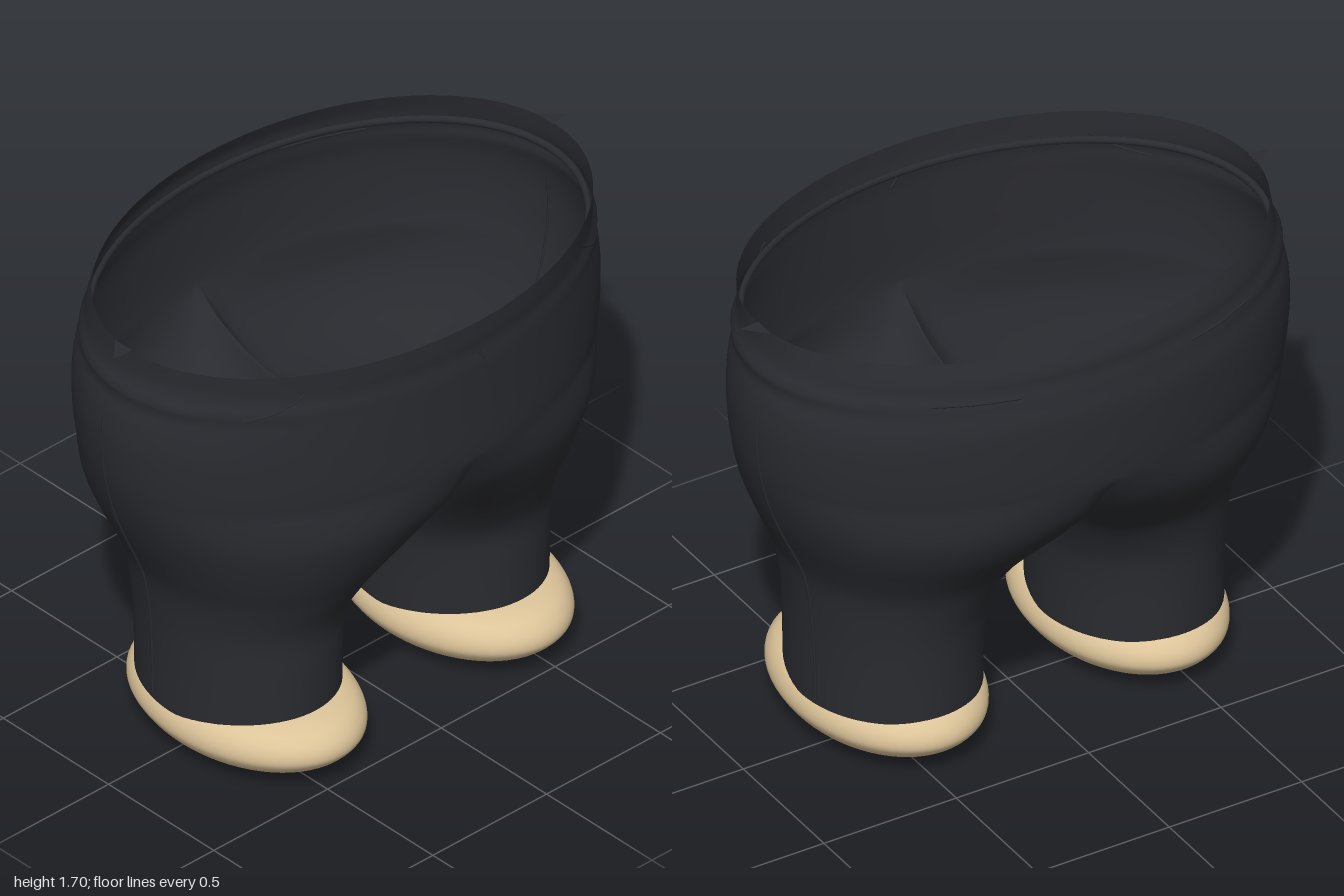
import * as THREE from 'three';
import { mergeVertices, mergeGeometries } from 'three/addons/utils/BufferGeometryUtils.js';

// Height, outer x, inner x, front z, back z
const PROFILE = [
  [0.15, 0.76, 0.15, 0.395, -0.34],
  [0.40, 0.765, 0.145, 0.40, -0.345],
  [0.55, 0.775, 0.125, 0.41, -0.36],
  [0.70, 0.80, 0.09, 0.48, -0.41],
  [0.80, 0.84, 0.055, 0.54, -0.48],
  [0.90, 0.885, 0.02, 0.595, -0.56],
  [1.00, 0.925, 0, 0.64, -0.62],
  [1.10, 0.955, 0, 0.66, -0.65],
  [1.20, 0.975, 0, 0.67, -0.665],
  [1.35, 0.985, 0, 0.67, -0.67],
  [1.45, 0.975, 0, 0.67, -0.668],
  [1.52, 0.958, 0, 0.67, -0.655],
  [1.55, 0.965, 0, 0.668, -0.65],
  [1.59, 0.945, 0, 0.664, -0.64],
  [1.63, 0.935, 0, 0.668, -0.638],
  [1.70, 0.93, 0, 0.67, -0.61],
];

// Smooth lookup of the profile at a height
function profileAt(y) {
  const last = PROFILE.length - 1;
  let i = 0;
  while (i < last - 1 && PROFILE[i + 1][0] < y) i++;
  const p0 = PROFILE[Math.max(i - 1, 0)], p1 = PROFILE[i];
  const p2 = PROFILE[i + 1], p3 = PROFILE[Math.min(i + 2, last)];
  const h = p2[0] - p1[0], t = THREE.MathUtils.clamp((y - p1[0]) / h, 0, 1);
  const [outer, inner, front, back] = [1, 2, 3, 4].map((k) => {
    const m1 = (p2[k] - p0[k]) / (p2[0] - p0[0]) * h;
    const m2 = (p3[k] - p1[k]) / (p3[0] - p1[0]) * h;
    const t2 = t * t, t3 = t2 * t;
    return (2 * t3 - 3 * t2 + 1) * p1[k] + (t3 - 2 * t2 + t) * m1
      + (3 * t2 - 2 * t3) * p2[k] + (t3 - t2) * m2;
  });
  return { outer, inner: Math.max(inner, 0), front, back };
}

const COLS = 72, OUTER = 48, LEG_ROWS = 40, TOP_ROWS = 30;
const SPLIT = 1.15, CROTCH = 0.97, WAIST = 1.7;

// One half: a leg loop that opens into half of the waist ellipse
function trouserHalf(mirror) {
  const pos = [], index = [], width = COLS + 1;
  for (let r = 0; r <= LEG_ROWS + TOP_ROWS; r++) {
    for (let i = 0; i <= COLS; i++) {
      const a = THREE.MathUtils.degToRad(-120 + i * 5);
      const isOuter = i <= OUTER;
      // D-shaped section at the split: half ellipse outside, straight inside
      const d = isOuter ? a * 0.75 : 0;
      const du = isOuter ? Math.max(Math.cos(d), 0) : 0;
      const dv = isOuter ? Math.sin(d) : Math.sin(a) / Math.sin(Math.PI * 2 / 3);
      const top = isOuter ? SPLIT : CROTCH + (SPLIT - CROTCH) * dv ** 4;
      const hem = 0.19 + 0.045 * Math.max(Math.sin(a), 0) ** 2 + 0.015 * Math.max(-Math.sin(a), 0);
      const y = r <= LEG_ROWS
        ? hem + (top - hem) * r / LEG_ROWS
        : SPLIT + (WAIST - SPLIT) * (r - LEG_ROWS) / TOP_ROWS;
      const w = THREE.MathUtils.clamp((y - 0.5) / (top - 0.5), 0, 1) ** 1.5;
      const u = THREE.MathUtils.lerp(0.5 + 0.5 * Math.cos(a), du, w);
      const v = THREE.MathUtils.lerp(Math.sin(a), dv, w);
      const p = profileAt(y);
      const inner = p.inner * (1 - w);
      const x = inner + (p.outer - inner) * u;
      const z = (p.front + p.back) / 2 + (p.front - p.back) / 2 * v;
      pos.push(mirror * x, y, z);
    }
  }
  for (let r = 0; r < LEG_ROWS + TOP_ROWS; r++) {
    const count = r < LEG_ROWS ? COLS : OUTER;
    for (let i = 0; i < count; i++) {
      const a = r * width + i, b = a + 1, c = a + width, e = c + 1;
      if (mirror > 0) index.push(a, c, b, b, c, e);
      else index.push(a, b, c, b, e, c);
    }
  }
  const g = new THREE.BufferGeometry();
  g.setAttribute('position', new THREE.Float32BufferAttribute(pos, 3));
  g.setIndex(index);
  return g;
}

// Point on the upper trouser wall, front (+1) or back (-1)
function onWall(x, y, face) {
  const p = profileAt(y);
  const s = Math.sqrt(Math.max(1 - (x / p.outer) ** 2, 0));
  return new THREE.Vector3(x, y, (p.front + p.back) / 2 + face * (p.front - p.back) / 2 * s);
}

export function createModel() {
  const model = new THREE.Group();
  const cloth = new THREE.MeshStandardMaterial({ color: 0x2a2b30, side: THREE.DoubleSide });
  const tan = new THREE.MeshStandardMaterial({ color: 0xdcc499 });

  const add = (name, geometry, material) => {
    const mesh = new THREE.Mesh(geometry, material);
    mesh.name = name;
    model.add(mesh);
    return mesh;
  };
  const stitch = (name, points) => add(name,
    new THREE.TubeGeometry(new THREE.CatmullRomCurve3(points), 32, 0.005, 5), cloth);

  // Trousers, both halves welded along the centre
  const trousers = mergeVertices(mergeGeometries([trouserHalf(1), trouserHalf(-1)]), 1e-4);
  trousers.computeVertexNormals();
  add('trousers', trousers, cloth);

  // Elastic ring inside the waist
  const elastic = new THREE.TorusGeometry(1, 0.014, 8, 96);
  elastic.rotateX(Math.PI / 2);
  const ring = add('waistElastic', elastic, cloth);
  ring.scale.set(0.925, 1, 0.638);
  ring.position.set(0, 1.6, 0.013);

  // Rounded foot outline, turned and stretched lengthwise
  const footProfile = new THREE.SplineCurve([
    [0, 0], [0.3, 0.004], [0.6, 0.02], [0.85, 0.06], [0.97, 0.105], [1, 0.14],
    [0.97, 0.18], [0.88, 0.215], [0.7, 0.238], [0.35, 0.245], [0, 0.246],
  ].map(([x, y]) => new THREE.Vector2(x, y))).getPoints(44);
  footProfile.forEach((p) => { p.x = Math.max(p.x, 0); });
  const footGeometry = new THREE.LatheGeometry(footProfile, 64);

  for (const [side, s] of [['left', 1], ['right', -1]]) {
    const foot = add(side + 'Foot', footGeometry, tan);
    foot.scale.set(0.32, 1, 0.457);
    foot.position.set(s * 0.455, 0, 0.068);

    // Seam down the outside of the leg
    const seam = [];
    for (let y = 0.22; y < 1.47; y += 0.1) seam.push(new THREE.Vector3(s * (profileAt(y).outer - 0.003), y, -0.05));
    stitch(side + 'SideSeam', seam);

    // Slanted front pocket and level back pocket
    stitch(side + 'FrontPocket', [[0.61, 1.62], [0.69, 1.565], [0.78, 1.535]].map(([x, y]) => onWall(s * x, y, 1)));
    stitch(side + 'BackPocket', [0.32, 0.46, 0.6].map((x) => onWall(s * x, 1.56, -1)));

    // Flat pointed tab at the waist edge
    const tab = new THREE.BufferGeometry();
    tab.setAttribute('position', new THREE.Float32BufferAttribute(
      [s * 0.925, WAIST, -0.05, s * 0.925, WAIST, 0.03, s, WAIST, 0.025], 3));
    tab.computeVertexNormals();
    add(side + 'WaistTab', tab, cloth);
  }

  // Short fly stitch
  stitch('flyStitch', [[0.01, 1.6], [0.015, 1.57], [0.035, 1.54]].map(([x, y]) => onWall(x, y, 1)));

  return model;
}
